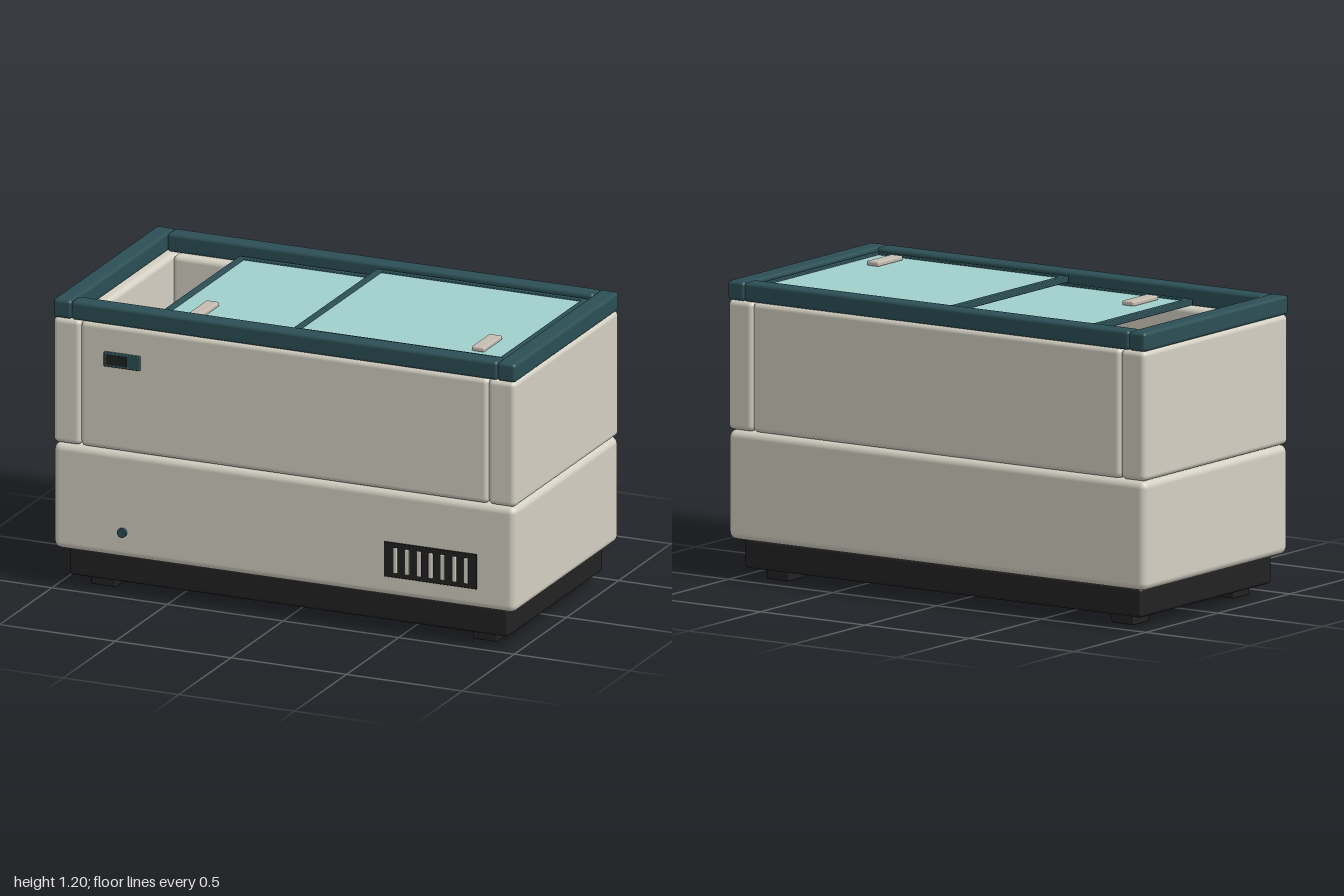
import * as THREE from 'three';
import { RoundedBoxGeometry } from 'three/addons/geometries/RoundedBoxGeometry.js';

const mat = (name, color) => {
  const m = new THREE.MeshStandardMaterial({ color });
  m.name = name;
  return m;
};

export function createModel() {
  const cream = mat('cream enamel', 0xd4d0c3);
  const teal = mat('dark teal trim', 0x2b4f55);
  const glass = mat('pale aqua glass', 0xa0cfcd);
  const black = mat('black plastic', 0x222222);
  const grip = mat('warm grey grip', 0xc6bdb2);
  const steel = mat('light tub', 0xe0ddd2);
  const brown = mat('chocolate', 0x69402f);
  const vanilla = mat('vanilla', 0xe6e1d3);

  const model = new THREE.Group();
  model.name = 'chestFreezer';
  // The cabinet sits slightly back to make room for the front fittings
  const cabinet = new THREE.Group();
  cabinet.name = 'cabinet';
  cabinet.position.z = -0.0075;
  model.add(cabinet);

  const add = (name, geometry, material, x, y, z, parent = cabinet) => {
    const mesh = new THREE.Mesh(geometry, material);
    mesh.name = name;
    mesh.position.set(x, y, z);
    parent.add(mesh);
    return mesh;
  };
  // Box from min/max limits, rounded when r > 0
  const box = (name, material, [x0, x1], [y0, y1], [z0, z1], r = 0, parent = cabinet) => {
    const size = [x1 - x0, y1 - y0, z1 - z0];
    const geo = r ? new RoundedBoxGeometry(...size, 3, r) : new THREE.BoxGeometry(...size);
    return add(name, geo, material, (x0 + x1) / 2, (y0 + y1) / 2, (z0 + z1) / 2, parent);
  };

  // Plinth and feet
  box('plinth', black, [-0.95, 0.95], [0.045, 0.165], [-0.455, 0.455], 0.015);
  for (const sx of [-1, 1]) for (const sz of [-1, 1]) {
    add('foot', new RoundedBoxGeometry(0.11, 0.06, 0.11, 2, 0.008), black, sx * 0.825, 0.03, sz * 0.347);
  }

  // Lower body, four walls and the rim
  box('lowerBody', cream, [-1, 1], [0.163, 0.602], [-0.5, 0.5], 0.03);
  for (const s of [-1, 1]) {
    add('sideWall', new RoundedBoxGeometry(0.12, 0.522, 1, 3, 0.022), cream, s * 0.94, 0.864, 0);
    add('longWall', new RoundedBoxGeometry(1.764, 0.522, 0.115, 3, 0.022), cream, 0, 0.864, s * 0.4425);
    add('sideRim', new RoundedBoxGeometry(0.08, 0.077, 1, 3, 0.014), teal, s * 0.96, 1.1615, 0);
    add('longRim', new RoundedBoxGeometry(1.844, 0.077, 0.077, 3, 0.014), teal, 0, 1.1615, s * 0.4615);
  }

  // Round tubs standing inside
  const tubProfile = [[0, 0.6], [0.15, 0.6], [0.153, 0.918], [0.165, 0.918], [0.167, 0.926],
    [0.163, 0.932], [0.15, 0.932], [0.147, 0.925], [0.145, 0.86]].map((p) => new THREE.Vector2(...p));
  const tubGeo = new THREE.LatheGeometry(tubProfile, 40);
  const fillGeo = new THREE.CylinderGeometry(0.147, 0.145, 0.27, 40);
  [-0.59, -0.2, 0.2, 0.59].forEach((x, i) => {
    [-0.19, 0.19].forEach((z, j) => {
      add('tub', tubGeo, steel, x, 0, z).material.side = THREE.DoubleSide;
      add('tubFilling', fillGeo, (i + j) % 2 ? vanilla : brown, x, 0.745, z);
    });
  });

  // Sliding lids: a glass pane, a four-bar frame and a grip
  const lid = (name, x0, x1, top, gripX) => {
    const g = new THREE.Group();
    g.name = name;
    cabinet.add(g);
    const w = 0.03, y = [top - 0.025, top];
    box('glassPane', glass, [x0 + 0.01, x1 - 0.01], [top - 0.018, top - 0.006], [-0.4, 0.4], 0, g);
    for (const x of [x0, x1 - w]) box('frameEnd', teal, [x, x + w], y, [-0.411, 0.411], 0.004, g);
    for (const z of [-0.411, 0.384]) box('frameRail', teal, [x0 + 0.02, x1 - 0.02], y, [z, z + 0.027], 0.004, g);
    box('lidGrip', grip, [gripX - 0.028, gripX + 0.028], [top - 0.007, top + 0.012], [0.175, 0.348], 0.006, g);
  };
  lid('lowerLid', -0.602, 0.32, 1.155, -0.453);
  lid('upperLid', -0.008, 0.915, 1.184, 0.77);

  // Control panel and drain plug
  box('controlPanel', teal, [-0.775, -0.62], [0.953, 1.013], [0.49, 0.512], 0.004);
  box('display', black, [-0.762, -0.675], [0.964, 1.003], [0.505, 0.516]);
  add('drainPlug', new THREE.CylinderGeometry(0.019, 0.019, 0.022, 20), teal, -0.697, 0.27, 0.503).rotation.x = Math.PI / 2;

  // Ventilation grille
  box('grille', black, [0.435, 0.835], [0.245, 0.39], [0.49, 0.506], 0.003);
  for (let i = 0; i < 7; i++) {
    const x = 0.485 + i * 0.051;
    box('grilleSlat', cream, [x - 0.009, x + 0.009], [0.265, 0.37], [0.5, 0.514], 0.004);
  }
  return model;
}
